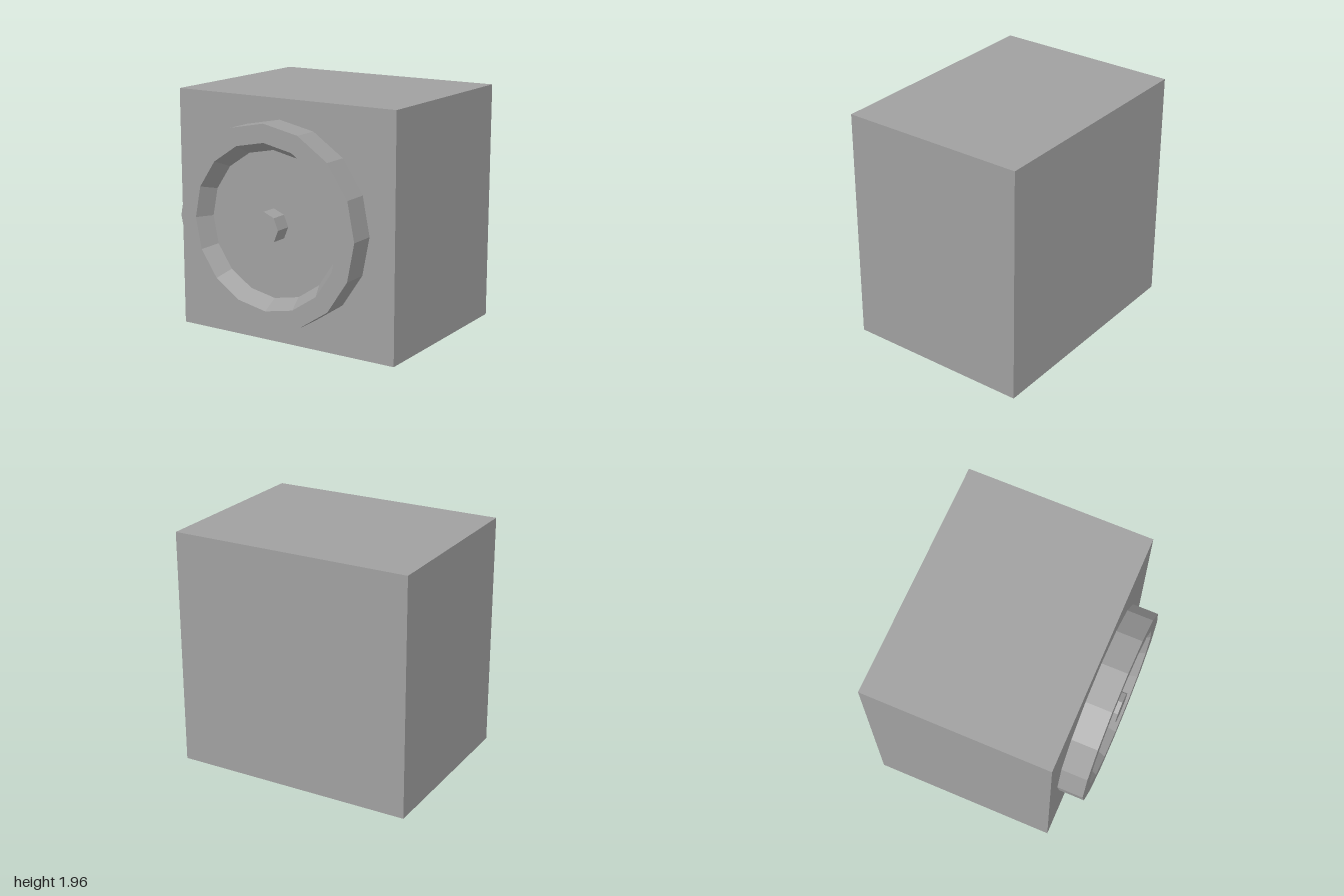
import * as THREE from 'three';

export function createModel() {
  const group = new THREE.Group();
  const grey = new THREE.MeshStandardMaterial({ color: 0xa0a0a0 });
  grey.name = 'grey';
  grey.flatShading = true;

  const add = (name, geometry, x, y, z) => {
    const mesh = new THREE.Mesh(geometry, grey);
    mesh.name = name;
    mesh.position.set(x, y, z);
    group.add(mesh);
  };

  // Main block
  add('cabinet', new THREE.BoxGeometry(2, 1.955, 1.54), 0, 0.9775, -0.11);

  // Sixteen-sided raised ring with a sloped inner wall and recessed floor
  const profile = [[0.81, 0], [0.81, 0.215], [0.663, 0.215], [0.588, 0.085], [0, 0.085]]
    .map(([r, h]) => new THREE.Vector2(r, h));
  add('dishRing', new THREE.LatheGeometry(profile, 16).rotateX(Math.PI / 2), -0.03, 0.98, 0.66);

  // Eight-sided hub standing on the recessed floor
  add('hub', new THREE.CylinderGeometry(0.132, 0.132, 0.135, 8).rotateX(Math.PI / 2), -0.03, 0.98, 0.8125);

  return group;
}
